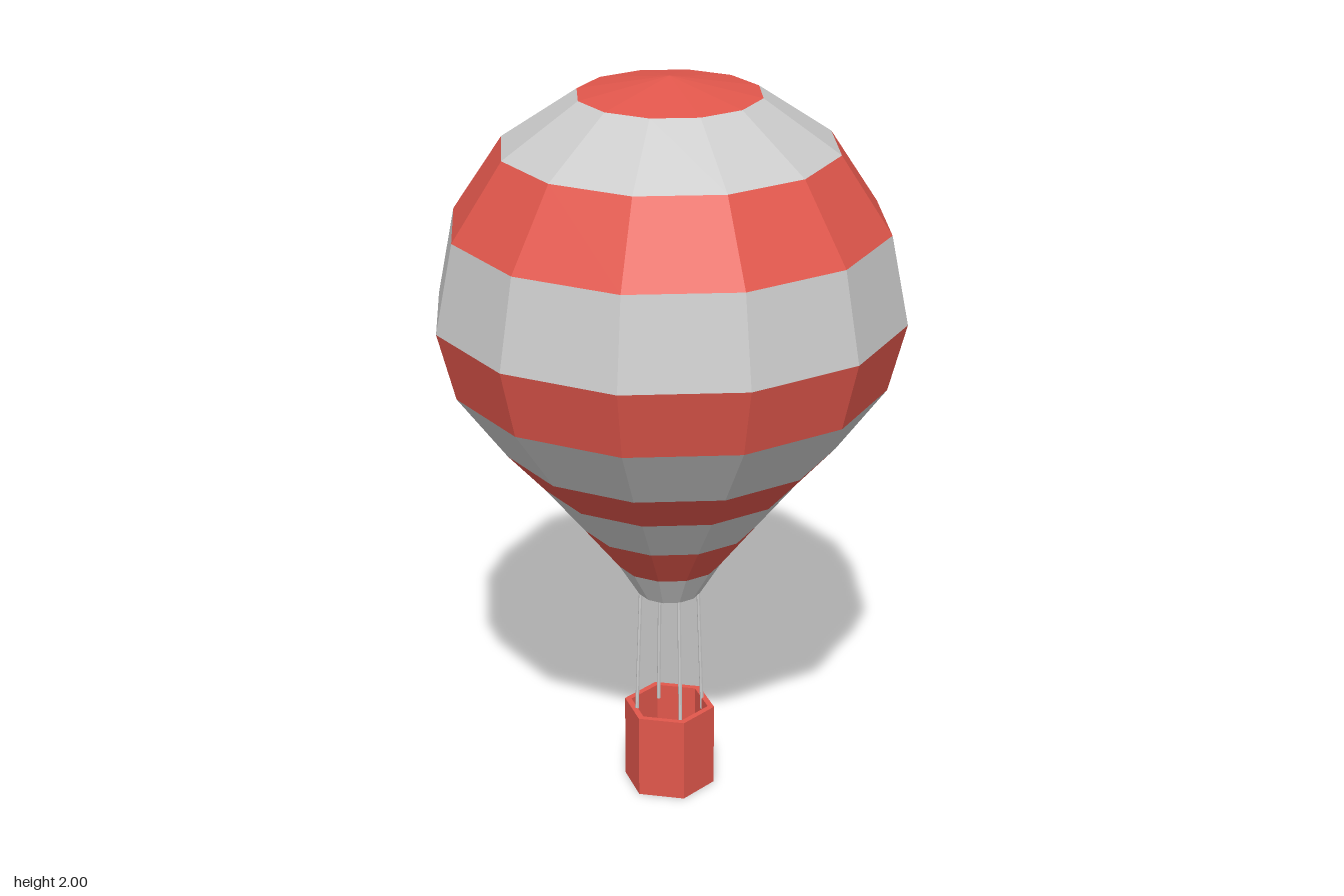
import * as THREE from 'three';

const RED = 0xe2574c, GREY = 0xcccccc;

const mat = (color, side = THREE.FrontSide) =>
  new THREE.MeshStandardMaterial({ color, side, flatShading: true });

// Low-poly surface of revolution from [radius, height] pairs
const lathe = (profile, sides) =>
  new THREE.LatheGeometry(profile.map(([r, y]) => new THREE.Vector2(r, y)), sides);

function add(parent, name, geometry, material) {
  const mesh = new THREE.Mesh(geometry, material);
  mesh.name = name;
  parent.add(mesh);
  return mesh;
}

export function createModel() {
  const model = new THREE.Group();
  model.name = 'hotAirBalloon';

  // Envelope: twelve-sided striped bands from the open mouth up to the crown
  const rings = [
    [0.085, 0.58], [0.14, 0.67], [0.235, 0.79], [0.34, 0.92], [0.44, 1.03], [0.57, 1.205],
    [0.617, 1.385], [0.57, 1.62], [0.437, 1.82], [0.238, 1.955], [0, 2],
  ];
  const envelope = new THREE.Group();
  envelope.name = 'envelope';
  model.add(envelope);
  const stripes = [mat(GREY, THREE.DoubleSide), mat(RED, THREE.DoubleSide)];
  for (let i = 0; i < rings.length - 1; i++) {
    add(envelope, `band${i + 1}`, lathe([rings[i], rings[i + 1]], 12), stripes[i % 2]);
  }

  // Basket: hollow hexagonal tub with a floor and a thin rim
  add(model, 'basket', lathe([
    [0, 0], [0.125, 0], [0.125, 0.235], [0.107, 0.235], [0.107, 0.02], [0, 0.02],
  ], 6), mat(RED));

  // Ropes: four thin lines leaning in from the basket rim to the mouth
  const ropeMaterial = mat(GREY);
  const up = new THREE.Vector3(0, 1, 0);
  for (let i = 0; i < 4; i++) {
    const a = i * Math.PI / 2;
    const at = (r, y) => new THREE.Vector3(r * Math.sin(a), y, r * Math.cos(a));
    const low = at(0.095, 0.2), high = at(0.081, 0.6);
    const dir = high.clone().sub(low);
    const rope = add(model, `rope${i + 1}`,
      new THREE.CylinderGeometry(0.005, 0.005, dir.length(), 6), ropeMaterial);
    rope.position.copy(low).lerp(high, 0.5);
    rope.quaternion.setFromUnitVectors(up, dir.normalize());
  }

  return model;
}
